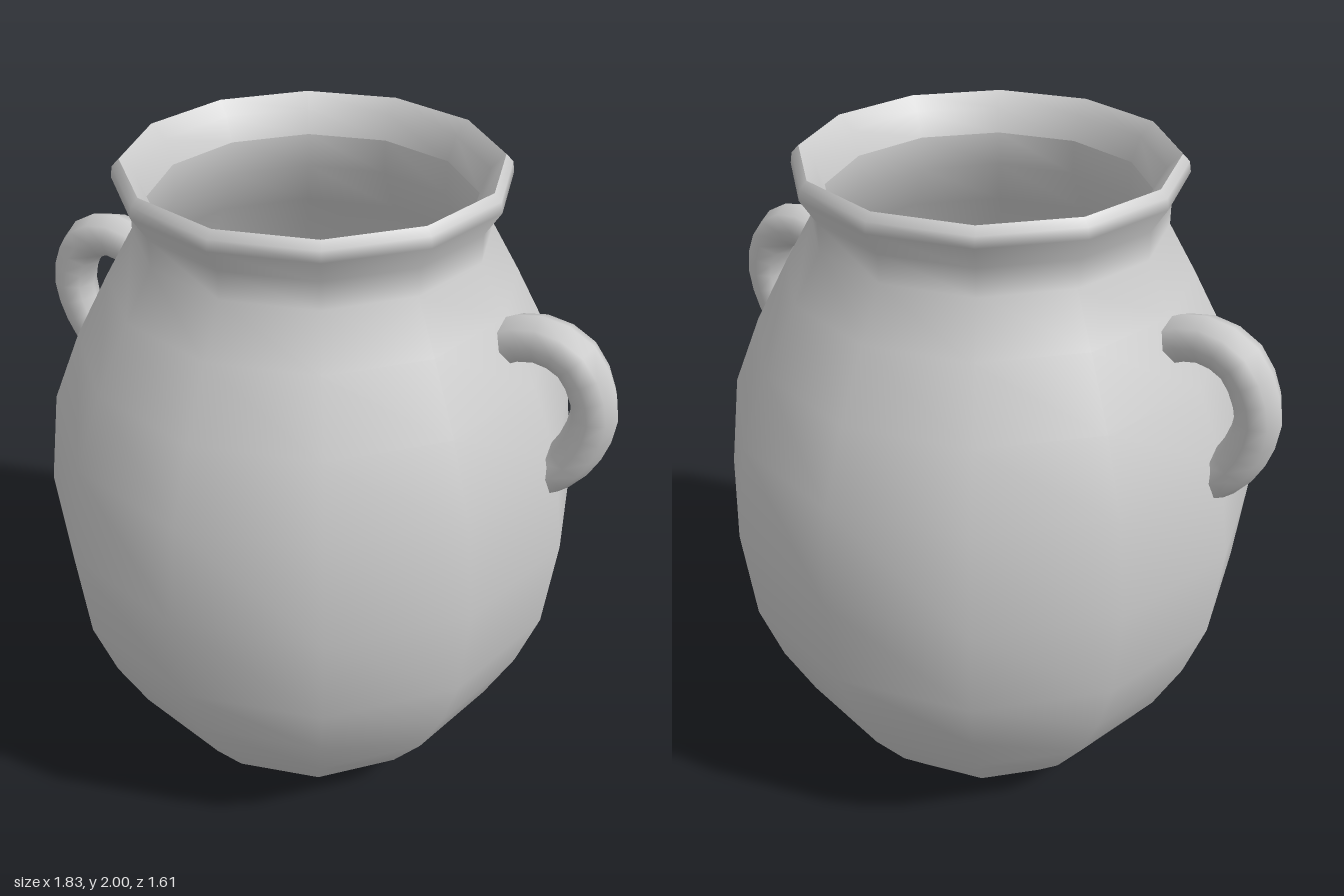
import * as THREE from 'three';

export function createModel() {
  const model = new THREE.Group();
  model.name = 'jar';
  const clay = new THREE.MeshStandardMaterial({ color: 0xcccccc });
  clay.name = 'pale grey clay';

  // Twelve-sided turned part from [radius, height] pairs
  const turned = (name, profile) => {
    const points = profile.map(([r, y]) => new THREE.Vector2(r, y));
    const mesh = new THREE.Mesh(new THREE.LatheGeometry(points, 12), clay);
    mesh.name = name;
    model.add(mesh);
  };

  turned('base', [[0, 0], [0.37, 0]]);
  turned('outerWall', [
    [0.37, 0], [0.49, 0.13], [0.62, 0.31], [0.71, 0.49], [0.775, 0.68], [0.805, 0.97],
    [0.765, 1.26], [0.68, 1.47], [0.58, 1.66], [0.5, 1.8], [0.5, 1.88], [0.545, 1.95],
    [0.54, 1.98], [0.52, 2],
  ]);
  turned('rim', [[0.52, 2], [0.48, 1.96], [0.455, 1.89]]);
  turned('innerWall', [
    [0.455, 1.89], [0.455, 1.79], [0.53, 1.65], [0.63, 1.46], [0.715, 1.25], [0.755, 0.97],
    [0.725, 0.69], [0.66, 0.51], [0.57, 0.33], [0.45, 0.16], [0.34, 0.05], [0, 0.05],
  ]);

  // Round loop handles, narrowing toward the lower end
  const path = new THREE.CatmullRomCurve3([
    [0.575, 1.585], [0.62, 1.61], [0.7, 1.622], [0.79, 1.582], [0.85, 1.45],
    [0.827, 1.33], [0.78, 1.25], [0.72, 1.195],
  ].map(([x, y]) => new THREE.Vector3(x, y, 0)));

  for (const [name, turn] of [['leftHandle', 0], ['rightHandle', Math.PI]]) {
    const geometry = new THREE.TubeGeometry(path, 12, 0.066, 8);
    const pos = geometry.attributes.position;
    for (let i = 0; i < pos.count; i++) {
      const t = THREE.MathUtils.clamp((pos.getY(i) - 1.2) / 0.4, 0, 1);
      pos.setZ(i, pos.getZ(i) * THREE.MathUtils.lerp(0.83, 1.12, t));
    }
    const handle = new THREE.Mesh(geometry, clay);
    handle.name = name;
    handle.rotation.y = turn;
    model.add(handle);
  }
  return model;
}
